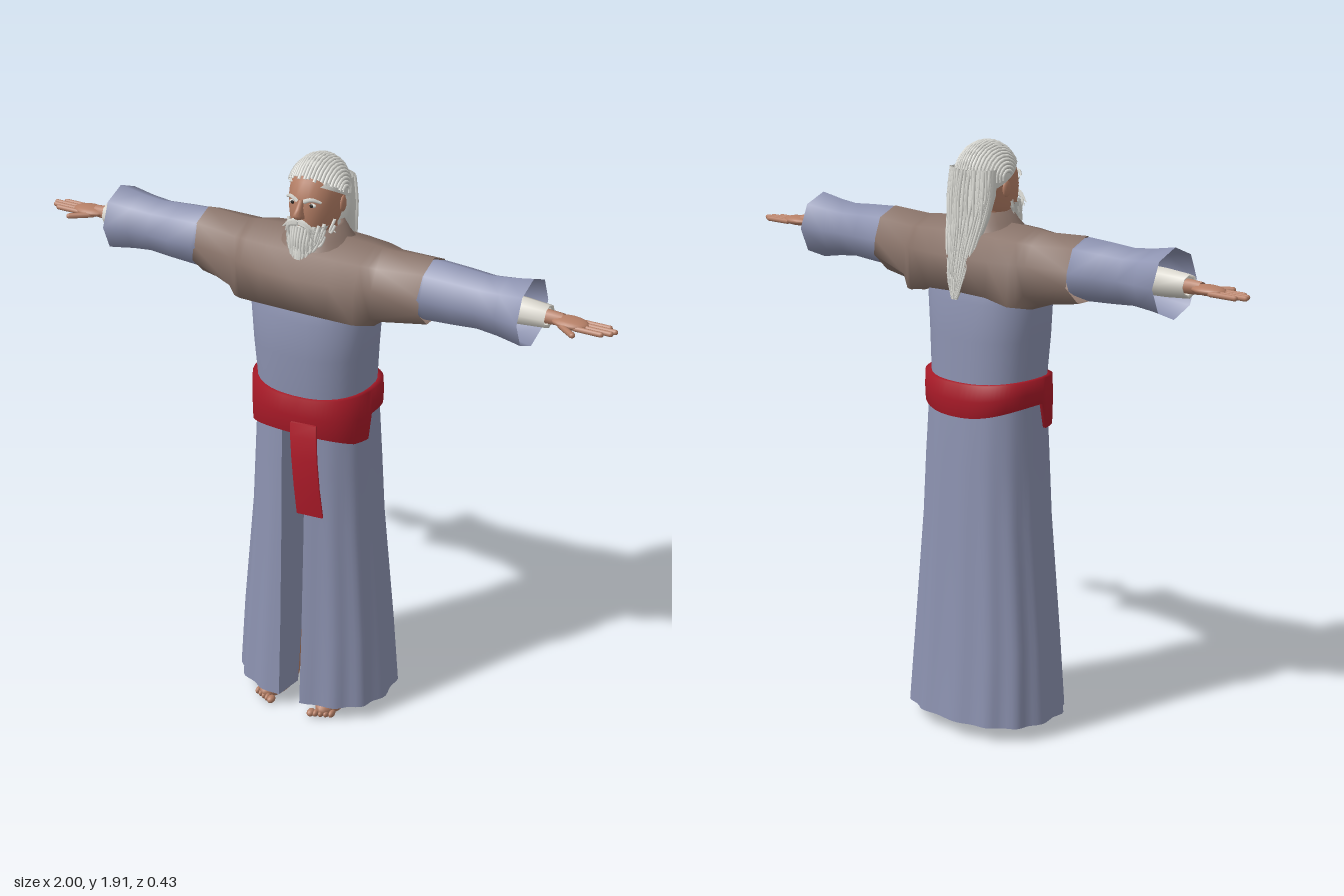
import * as THREE from 'three';

const mat = (name, color) => {
  const m = new THREE.MeshStandardMaterial({ color, side: THREE.DoubleSide });
  m.name = name;
  return m;
};
const M = {
  blue: mat('robeBlue', 0x8c92b0), brown: mat('capeBrown', 0x8a746a), red: mat('sashRed', 0xaa1a28),
  skin: mat('skin', 0xb57f66), hair: mat('hairWhite', 0xdcdcd6), cuff: mat('cuffWhite', 0xd8d5cc),
  dark: mat('eyeDark', 0x2a2420),
};

// Surface through a list of equal-length cross-sections
function loft(name, rings, material, closed = true) {
  const n = rings[0].length, idx = [];
  for (let i = 0; i < rings.length - 1; i++)
    for (let j = 0; j < (closed ? n : n - 1); j++) {
      const k = (j + 1) % n, a = i * n + j, b = i * n + k, c = a + n, d = b + n;
      idx.push(a, b, d, a, d, c);
    }
  const g = new THREE.BufferGeometry();
  g.setAttribute('position', new THREE.Float32BufferAttribute(rings.flat(2), 3));
  g.setIndex(idx);
  g.computeVertexNormals();
  return named(name, new THREE.Mesh(g, material));
}
function named(name, o) { o.name = name; return o; }
function part(name, geo, material, pos, scale = [1, 1, 1], rot = [0, 0, 0]) {
  const m = named(name, new THREE.Mesh(geo, material));
  m.position.set(...pos); m.scale.set(...scale); m.rotation.set(...rot);
  return m;
}
// Point of a horizontal rounded section; p below 1 makes it squarer
function sectionPoint(t, [y, hw, zf, zb], p = 1, k = 1) {
  const f = v => Math.sign(v) * Math.abs(v) ** p;
  return [hw * k * f(Math.sin(t)), y, (zf + zb) / 2 + (zf - zb) / 2 * k * f(Math.cos(t))];
}
const section = (s, n = 24, p = 1) =>
  Array.from({ length: n }, (_, i) => sectionPoint(i / n * Math.PI * 2, s, p));
// Circle around the x axis
const armRing = (x, r, n = 8) => Array.from({ length: n }, (_, i) => {
  const t = i / n * Math.PI * 2;
  return [x, 1.555 + r * Math.cos(t), 0.003 + r * Math.sin(t)];
});
// Tapered lock of hair along a curve
function lock(points, r, tip = 0.15) {
  const c = new THREE.CatmullRomCurve3(points.map(p => new THREE.Vector3(...p)));
  const seg = 8, rad = 4, g = new THREE.TubeGeometry(c, seg, r, rad);
  const pos = g.attributes.position, v = new THREE.Vector3();
  for (let i = 0; i <= seg; i++) {
    const o = c.getPointAt(i / seg), k = 1 - (1 - tip) * (i / seg) ** 2;
    for (let j = 0; j <= rad; j++) {
      const q = i * (rad + 1) + j;
      v.fromBufferAttribute(pos, q).sub(o).multiplyScalar(k).add(o);
      pos.setXYZ(q, v.x, v.y, v.z);
    }
  }
  return named('lock', new THREE.Mesh(g, M.hair));
}
let seed = 7;
const rnd = () => (seed = (seed * 16807) % 2147483647) / 2147483647;
const ball = new THREE.SphereGeometry(1, 16, 12);

function buildRobe() {
  const g = named('robe', new THREE.Group());
  g.add(loft('torso', [[1.08, .19, .155, -.15], [1.17, .19, .162, -.148], [1.3, .2, .17, -.145],
    [1.42, .21, .168, -.142], [1.5, .19, .14, -.12]].map(s => section(s, 32, 0.85)), M.blue));
  // Skirt, split down the front, with folds growing toward the hem
  const skirt = [[.05, .265, .2, -.208], [.3, .25, .186, -.19], [.7, .215, .17, -.172],
    [.9, .205, .165, -.166], [1.1, .195, .158, -.155]];
  const p = 0.85, edges = [[], []];
  const rows = skirt.map(s => {
    const a = Math.asin((0.042 / s[1]) ** (1 / p)), n = 84;
    const amp = 0.022 * (1.1 - s[0]);
    const row = Array.from({ length: n + 1 }, (_, i) => {
      const t = a + (Math.PI * 2 - 2 * a) * i / n;
      return sectionPoint(t, s, p, 1 + amp * Math.sin(14 * t));
    });
    const inner = 0.03 * Math.max(0, 1 - s[0] / 0.9);
    edges[0].push([[inner, s[0], s[2] - .11], row[0]]);
    edges[1].push([row[n], [-inner, s[0], s[2] - .11]]);
    return row;
  });
  g.add(loft('skirt', rows, M.blue, false));
  edges.forEach(e => g.add(loft('skirtFacing', e, M.blue, false)));
  return g;
}

function buildSash() {
  const g = named('sash', new THREE.Group()), n = 72;
  const ring = (yOf, k) => Array.from({ length: n }, (_, i) => {
    const t = i / n * Math.PI * 2;
    return sectionPoint(t, [yOf(t), .208, .175, -.165], 0.85, k);
  });
  // Deep in front, stepped up at the sides, dipping at the back
  const low = t => {
    const c = Math.cos(t);
    return c > 0.16 ? 1.012 + 0.028 * Math.max(0, c - .5) * 2 : 1.095 - 0.04 * c * c;
  };
  const high = t => 1.17 - 0.006 * Math.cos(t * 2);
  g.add(loft('waistband', [ring(low, .93), ring(low, 1), ring(t => (low(t) + high(t)) / 2, 1.01),
    ring(high, 1), ring(high, .9)], M.red));
  g.add(loft('hangingEnd', [[.78, .04, .132, .208], [.88, .034, .124, .216], [.98, .025, .115, .215],
    [1.05, .015, .107, .205], [1.09, .008, .1, .193]].map(([y, a, b, z]) =>
    [[a, y - .003, z], [b, y + .003, z], [b, y + .003, z - .008], [a, y - .003, z - .008]]), M.red));
  return g;
}

function buildCape() {
  const g = named('cape', new THREE.Group());
  // x, top, front, back, front hem, back hem, underside
  const half = [[.4, 1.657, .1, -.1, 1.51, 1.51, 1.453], [.25, 1.65, .125, -.12, 1.47, 1.47, 1.43],
    [.225, 1.653, .135, -.13, 1.445, 1.43, 1.412], [.2, 1.655, .145, -.14, 1.445, 1.43, 1.42],
    [.12, 1.66, .165, -.15, 1.455, 1.45, 1.46]];
  const all = [...half.map(([x, ...r]) => [-x, ...r]), [0, 1.665, .175, -.155, 1.46, 1.455, 1.47],
    ...[...half].reverse()];
  g.add(loft('shoulders', all.map(([x, top, f, b, hf, hb, u]) => [[top, 0], [top - .03, f * .7],
    [1.56, f * .95], [hf, f], [u, f * .4], [u, b * .4], [hb, b], [1.56, b * .95], [top - .03, b * .7]]
    .map(([y, z]) => [x, y, z])), M.brown));
  g.add(loft('collar', [[1.62, .14, .13, -.12], [1.66, .1, .1, -.1], [1.695, .078, .075, -.085],
    [1.69, .065, .06, -.07]].map(s => section(s)), M.brown));
  return g;
}

function buildArm() {
  const g = named('arm', new THREE.Group());
  g.add(loft('sleeve', [[.38, .09], [.405, .099], [.5, .094], [.58, .088], [.65, .095], [.73, .109]]
    .map(s => armRing(...s)), M.blue));
  g.add(loft('cuff', [[.45, .05], [.7, .044], [.785, .037], [.78, .028]].map(s => armRing(...s)), M.cuff));
  g.add(loft('wrist', [[.7, .026], [.8, .022], [.83, .02]].map(s => armRing(...s)), M.skin));
  const hand = named('hand', new THREE.Group());
  hand.add(part('palm', ball, M.skin, [.852, 1.553, .005], [.06, .016, .038]));
  [[-.024, .975], [-.006, 1.0], [.012, .993], [.03, .97]].forEach(([z, end]) => {
    const len = end - .87;
    hand.add(part('finger', new THREE.CapsuleGeometry(.0085, len - .017, 3, 8), M.skin,
      [.87 + len / 2, 1.549, z], [1, 1, 1], [0, 0, -Math.PI / 2]));
  });
  hand.add(part('thumb', new THREE.CapsuleGeometry(.0095, .075, 3, 8), M.skin,
    [.86, 1.548, .05], [1, 1, 1], [0, -.65, -Math.PI / 2]));
  g.add(hand);
  return g;
}

function buildLeg() {
  const g = named('leg', new THREE.Group());
  g.add(part('shin', new THREE.CylinderGeometry(.055, .034, .5, 14), M.skin, [.105, .29, .01]));
  const foot = ball.clone(), pos = foot.attributes.position;
  for (let i = 0; i < pos.count; i++) pos.setY(i, Math.max(pos.getY(i), -.55));
  g.add(part('foot', foot, M.skin, [.108, .025, .075], [.046, .042, .11]));
  for (let i = 0; i < 5; i++)
    g.add(part('toe', ball, M.skin, [.077 + i * .016, .014, .185 - i * .007],
      [i ? .009 : .013, .013, .018]));
  return g;
}

function buildHead() {
  const g = named('head', new THREE.Group());
  g.add(part('neck', new THREE.CylinderGeometry(.05, .058, .13, 16), M.skin, [0, 1.67, -.01]));
  g.add(loft('skull', [[1.655, .012, .07, .03], [1.67, .05, .1, -.04], [1.71, .07, .11, -.07],
    [1.76, .08, .112, -.09], [1.8, .083, .106, -.1], [1.85, .077, .093, -.1], [1.885, .05, .06, -.07],
    [1.9, .005, .01, -.01]].map(s => section(s)), M.skin));
  g.add(loft('nose', [[1.74, .004, .12, .1], [1.745, .017, .135, .1], [1.758, .015, .143, .1],
    [1.775, .01, .132, .1], [1.8, .007, .113, .09]].map(s => section(s, 10)), M.skin));
  [-1, 1].forEach(s => {
    g.add(part('ear', ball, M.skin, [s * .082, 1.765, -.005], [.008, .026, .017]));
    g.add(part('eye', ball, M.hair, [s * .033, 1.784, .097], [.014, .007, .006]));
    g.add(part('pupil', ball, M.dark, [s * .033, 1.784, .1015], [.006, .006, .003]));
    g.add(lock([[s * .012, 1.797, .112], [s * .035, 1.805, .106], [s * .06, 1.794, .088]], .007, .5));
    for (let i = 0; i < 4; i++) // moustache
      g.add(lock([[s * .003, 1.738 - i * .003, .122], [s * (.025 + i * .003), 1.732 - i * .004, .125],
        [s * (.06 - i * .009), 1.705 - i * .012, .115]], .008));
  });
  return g;
}

function buildHair() {
  const g = named('hair', new THREE.Group());
  g.add(part('cap', new THREE.SphereGeometry(1, 28, 14, 0, Math.PI * 2, 0, Math.PI * .53), M.hair,
    [0, 1.803, -.008], [.09, .104, .107], [-.5, 0, 0]));
  const fall = [[1.43, .012, -.15, -.162], [1.5, .04, -.12, -.16], [1.6, .062, -.09, -.145],
    [1.68, .078, -.045, -.132], [1.75, .087, -.02, -.124], [1.83, .084, -.01, -.113]];
  g.add(loft('backHair', fall.map(s => section(s, 20)), M.hair));
  // Locks combed back over the crown
  for (let i = 0; i < 25; i++) {
    const a = (-78 + 156 * i / 24) * Math.PI / 180, pts = [];
    for (let k = 0; k <= 6; k++) {
      const f = (34 + k * 27 + 3 * Math.sin(i * 2.4)) * Math.PI / 180;
      pts.push([.091 * Math.sin(a), 1.8 + .107 * Math.cos(a) * Math.sin(f),
        -.006 + .109 * Math.cos(a) * Math.cos(f)]);
    }
    g.add(lock(pts, .0065, .6));
  }
  // Locks hanging down the back
  for (let i = 0; i < 30; i++) {
    const t = Math.PI * (.58 + .84 * i / 29), end = Math.floor(rnd() * 2);
    const pts = fall.slice(end).reverse().map(s => sectionPoint(t + (rnd() - .5) * .15, s, 1, 1.02));
    g.add(lock(pts, .006));
  }
  return g;
}

function buildBeard() {
  const g = named('beard', new THREE.Group());
  g.add(loft('beardBody', [[1.59, .008, .135, .115], [1.64, .03, .135, .08], [1.68, .055, .125, .03],
    [1.715, .07, .112, .01]].map(s => section(s, 16)), M.hair));
  for (let row = 0; row < 3; row++)
    for (let i = 0; i < 15; i++) {
      const u = -1 + 2 * i / 14, w = 1 - u * u, j = (rnd() - .5) * .02;
      const top = 1.725 - row * .02 - w * .012;
      const bottom = 1.66 - w * (.05 + row * .018) + j;
      const z = .03 + .085 * Math.sqrt(w);
      g.add(lock([[u * .073, top, z], [u * .066, (top + bottom) / 2, z + .015],
        [u * (.06 - .018 * row) + j * .3, bottom, z + .018]], .0065));
    }
  return g;
}

export function createModel() {
  const model = named('robedElder', new THREE.Group());
  model.add(buildRobe(), buildSash(), buildCape(), buildHead(), buildHair(), buildBeard());
  [['left', 1], ['right', -1]].forEach(([side, s]) => {
    const arm = buildArm(), leg = buildLeg();
    arm.name = side + 'Arm'; leg.name = side + 'Leg';
    arm.scale.x = leg.scale.x = s;
    model.add(arm, leg);
  });
  return model;
}
